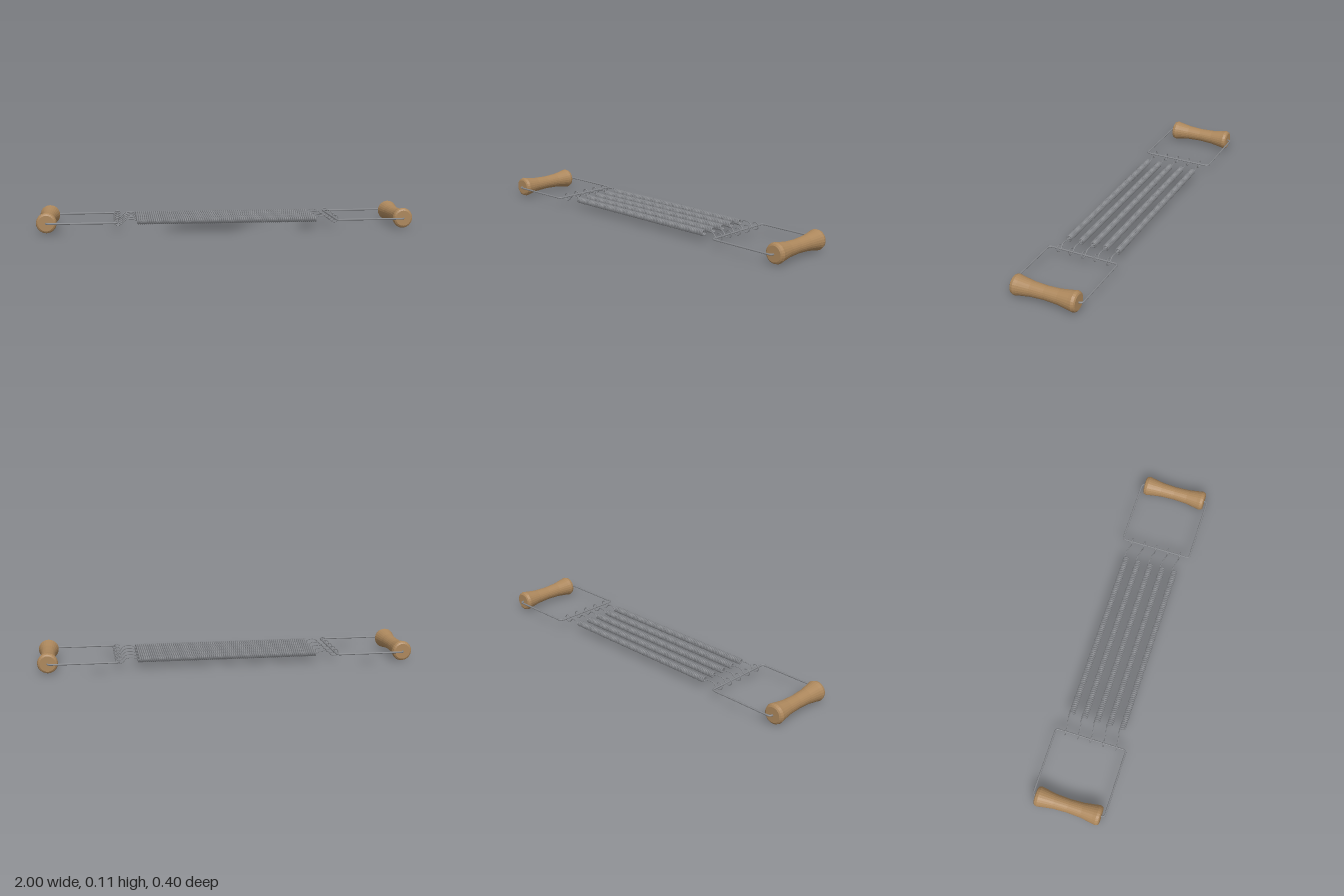
import * as THREE from 'three';

const Y = 0.0535; // height of the shared axis plane
const wood = new THREE.MeshStandardMaterial({ name: 'wood', color: 0xac875c });
const steel = new THREE.MeshStandardMaterial({ name: 'steel', color: 0x85878b });

const v = (x, y, z) => new THREE.Vector3(x, y, z);

function addMesh(parent, name, geometry, material) {
  const mesh = new THREE.Mesh(geometry, material);
  mesh.name = name;
  parent.add(mesh);
  return mesh;
}

// Coil wound along x
class Helix extends THREE.Curve {
  constructor(halfLength, radius, turns) {
    super();
    Object.assign(this, { halfLength, radius, turns });
  }
  getPoint(t, target = new THREE.Vector3()) {
    const a = t * this.turns * Math.PI * 2;
    return target.set((2 * t - 1) * this.halfLength, Math.sin(a) * this.radius, -Math.cos(a) * this.radius);
  }
  getPointAt(t, target) { return this.getPoint(t, target); }
}

// Wire bow with rounded corners, for the +x end
function bowGeometry() {
  const inner = 0.58, outer = 0.947, w = 0.194, r = 0.018;
  const path = new THREE.CurvePath();
  const pts = [v(outer, 0, 0), v(outer, 0, w), v(inner, 0, w), v(inner, 0, -w), v(outer, 0, -w), v(outer, 0, 0)];
  let from = pts[0];
  for (let i = 1; i < pts.length - 1; i++) {
    const p = pts[i];
    const a = p.clone().add(pts[i - 1].clone().sub(p).setLength(r));
    const b = p.clone().add(pts[i + 1].clone().sub(p).setLength(r));
    path.add(new THREE.LineCurve3(from, a));
    path.add(new THREE.QuadraticBezierCurve3(a, p, b));
    from = b;
  }
  path.add(new THREE.LineCurve3(from, pts[5]));
  return new THREE.TubeGeometry(path, 300, 0.0048, 8);
}

// Waisted grip, turned around z
function gripGeometry() {
  const half = [[0, 0.176], [0.041, 0.176], [0.049, 0.171], [0.0535, 0.157], [0.0495, 0.138], [0.0395, 0.075]];
  const profile = [
    ...half.map(([r, h]) => new THREE.Vector2(r, -h)),
    new THREE.Vector2(0.036, 0),
    ...half.slice().reverse().map(([r, h]) => new THREE.Vector2(r, h)),
  ];
  const g = new THREE.LatheGeometry(profile, 24).toNonIndexed();
  g.computeVertexNormals();
  return g.rotateX(Math.PI / 2);
}

// Hook from the coil end around the bow, for the +x end
function hookGeometry() {
  const curve = new THREE.CatmullRomCurve3([
    v(0.478, 0, -0.012), v(0.49, 0.009, -0.012), v(0.51, 0.012, -0.008), v(0.54, 0.007, -0.002),
    v(0.56, -0.013, 0), v(0.577, -0.019, 0), v(0.593, -0.012, 0), v(0.598, 0.002, 0),
    v(0.59, 0.016, 0), v(0.575, 0.019, 0), v(0.563, 0.012, 0),
  ]);
  return new THREE.TubeGeometry(curve, 48, 0.0027, 6);
}

// Mirror a geometry in x, keeping its faces outward
function mirrorX(geometry) {
  const g = geometry.clone().scale(-1, 1, 1);
  const index = g.index.array;
  for (let i = 0; i < index.length; i += 3) [index[i], index[i + 1]] = [index[i + 1], index[i]];
  g.computeVertexNormals();
  return g;
}

export function createModel() {
  const model = new THREE.Group();
  model.name = 'chestExpander';
  const body = new THREE.Group();
  body.name = 'body';
  body.position.y = Y;
  model.add(body);

  const bow = bowGeometry(), grip = gripGeometry(), hook = hookGeometry();
  const bows = [bow, mirrorX(bow)], hooks = [hook, mirrorX(hook)];

  // Handles: wooden grip and wire bow at each end
  [1, -1].forEach((side, i) => {
    const handle = new THREE.Group();
    handle.name = side > 0 ? 'leftHandle' : 'rightHandle';
    body.add(handle);
    addMesh(handle, 'grip', grip, wood).position.x = side * 0.9465;
    addMesh(handle, 'bow', bows[i], steel);
  });

  // Five parallel, tightly wound springs with a hook at each end
  const turns = 88;
  const coil = new THREE.TubeGeometry(new Helix(0.478, 0.0122, turns), turns * 14, 0.0053, 6);
  for (let i = -2; i <= 2; i++) {
    const spring = new THREE.Group();
    spring.name = 'spring' + (i + 3);
    spring.position.z = i * 0.07;
    body.add(spring);
    addMesh(spring, 'coil', coil, steel);
    addMesh(spring, 'leftHook', hooks[0], steel);
    addMesh(spring, 'rightHook', hooks[1], steel);
  }
  return model;
}
